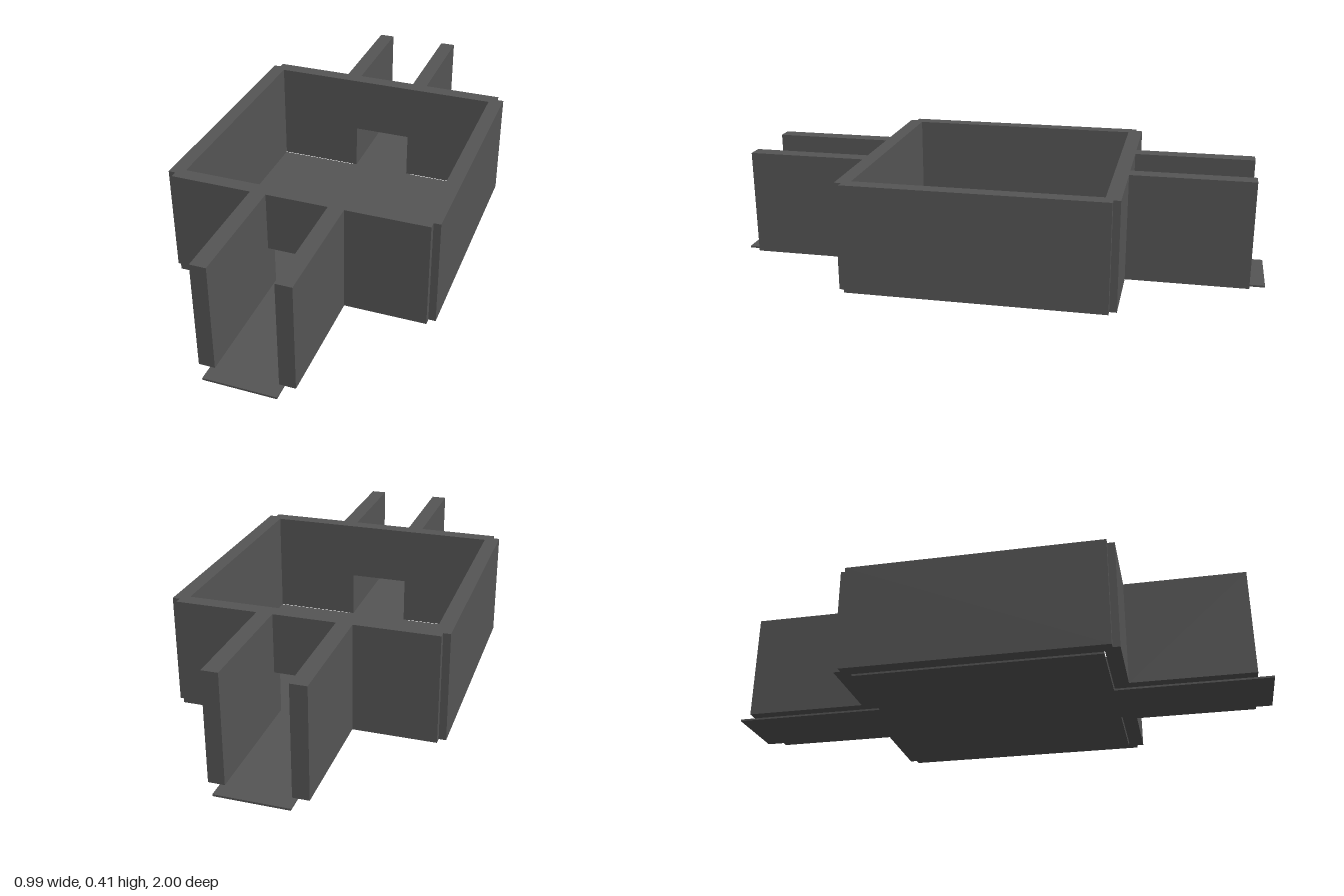
import * as THREE from 'three';

const BASE = 0.007;   // top of the thin floor, underside of the walls
const TOP = 0.407;    // wall height
const IN = 0.443;     // inner face of the room walls
const OUT = 0.497;    // outer face of the room walls
const NOTCH = 0.471;  // start of the corner notches
const DOOR = 0.113;   // half width of the doorways
const LINTEL = 0.185; // underside of the doorway lintels

function polygon(points) {
  return new THREE.Shape(points.map(([x, y]) => new THREE.Vector2(x, y)));
}

// Extrudes a plan outline (x, z) upwards from y0 to y1
function slab(points, y0, y1) {
  const geo = new THREE.ExtrudeGeometry(polygon(points.map(([x, z]) => [x, -z])), {
    depth: y1 - y0, bevelEnabled: false,
  });
  geo.rotateX(-Math.PI / 2);
  geo.translate(0, y0, 0);
  return geo;
}

export function createModel() {
  const model = new THREE.Group();
  model.name = 'roomWithCorridors';
  const stone = new THREE.MeshStandardMaterial({ color: 0x555555 });
  stone.name = 'darkGrey';

  const add = (name, geo) => {
    const mesh = new THREE.Mesh(geo, stone);
    mesh.name = name;
    model.add(mesh);
    return mesh;
  };

  // Thin cross-shaped floor
  const c = 0.13;
  add('floor', slab([
    [-IN, -0.44], [-c, -0.44], [-c, -1], [c, -1], [c, -0.44], [IN, -0.44],
    [IN, 0.44], [c, 0.44], [c, 1], [-c, 1], [-c, 0.44], [-IN, 0.44],
  ], 0, BASE));

  for (const s of [1, -1]) {
    const side = s > 0 ? 'left' : 'right';
    const end = s > 0 ? 'front' : 'back';

    // Long wall with notched outer corners
    add(side + 'Wall', slab([
      [IN, -OUT], [NOTCH, -OUT], [NOTCH, -NOTCH], [OUT, -NOTCH],
      [OUT, NOTCH], [NOTCH, NOTCH], [NOTCH, OUT], [IN, OUT],
    ].map(([x, z]) => [s * x, z]), BASE, TOP));

    // End wall with a doorway cut up from its base
    const endGeo = new THREE.ExtrudeGeometry(polygon([
      [-IN, BASE], [-DOOR, BASE], [-DOOR, LINTEL], [DOOR, LINTEL],
      [DOOR, BASE], [IN, BASE], [IN, TOP], [-IN, TOP],
    ]), { depth: OUT - IN, bevelEnabled: false });
    endGeo.translate(0, 0, IN);
    add(end + 'DoorWall', endGeo).rotation.y = s > 0 ? 0 : Math.PI;

    // Pair of corridor walls outside the doorway
    for (const t of [1, -1]) {
      const wall = add(end + (t > 0 ? 'Left' : 'Right') + 'CorridorWall',
        new THREE.BoxGeometry(0.171 - DOOR, TOP - BASE, 0.943 - OUT));
      wall.position.set(t * (0.171 + DOOR) / 2, (TOP + BASE) / 2, s * (0.943 + OUT) / 2);
    }
  }
  return model;
}
